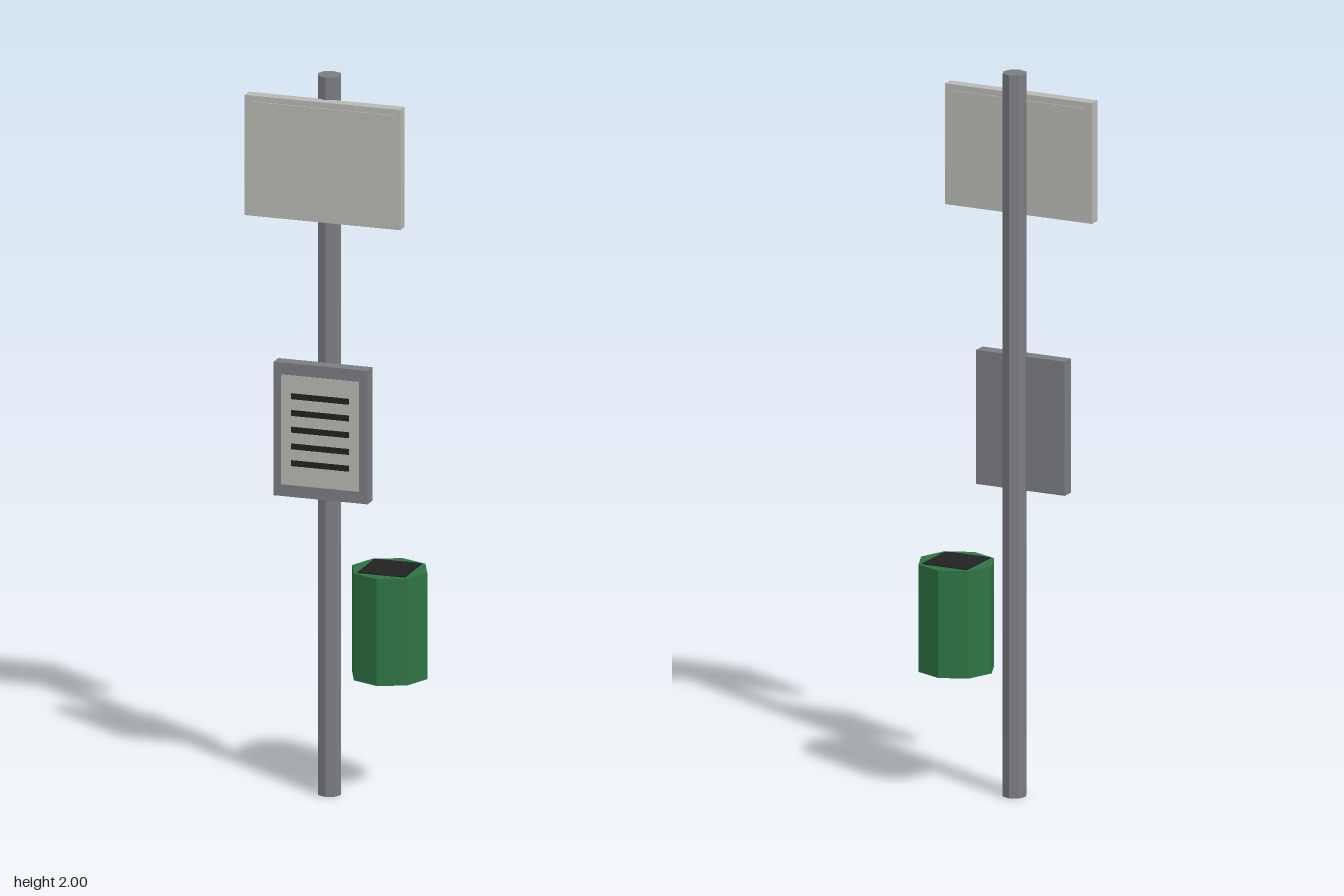
import * as THREE from 'three';

const material = (name, color, flatShading = true) => {
  const m = new THREE.MeshStandardMaterial({ color });
  m.name = name;
  m.flatShading = flatShading;
  return m;
};

export function createModel() {
  const model = new THREE.Group();
  model.name = 'stopPost';

  const steel = material('steelGrey', 0x7c7d82);
  const pale = material('paleGrey', 0xb8b8b4);
  const green = material('binGreen', 0x2e7343);
  const black = material('black', 0x222222);

  const add = (name, geometry, mat, x, y, z) => {
    const mesh = new THREE.Mesh(geometry, mat);
    mesh.name = name;
    mesh.position.set(x, y, z);
    model.add(mesh);
  };
  // Box given by its limits on each axis
  const box = (name, mat, [x0, x1], [y0, y1], [z0, z1]) =>
    add(name, new THREE.BoxGeometry(x1 - x0, y1 - y0, z1 - z0), mat,
      (x0 + x1) / 2, (y0 + y1) / 2, (z0 + z1) / 2);
  const octagon = (name, mat, r, [y0, y1], x, z) =>
    add(name, new THREE.CylinderGeometry(r, r, y1 - y0, 8), mat, x, (y0 + y1) / 2, z);

  // Post
  octagon('post', steel, 0.033, [0, 2], -0.025, 0.026);

  // Top sign with a slim raised strip on both faces
  box('signPanel', pale, [-0.245, 0.195], [1.603, 1.937], [0.049, 0.082]);
  box('signStrip', pale, [-0.225, 0.175], [1.913, 1.921], [0.046, 0.085]);

  // Timetable board with its sheet and printed bars
  box('timetableBoard', steel, [-0.158, 0.108], [0.837, 1.208], [0.06, 0.098]);
  box('timetableSheet', pale, [-0.136, 0.084], [0.87, 1.175], [0.095, 0.1]);
  for (let i = 0; i < 5; i++) {
    const y = 1.118 - i * 0.0465;
    box('timetableBar', black, [-0.108, 0.056], [y - 0.008, y + 0.008], [0.097, 0.102]);
  }

  // Litter bin with a square dark opening
  octagon('bin', green, 0.106, [0.337, 0.634], 0.136, 0);
  box('binOpening', black, [0.069, 0.203], [0.63, 0.637], [-0.068, 0.068]);

  return model;
}
